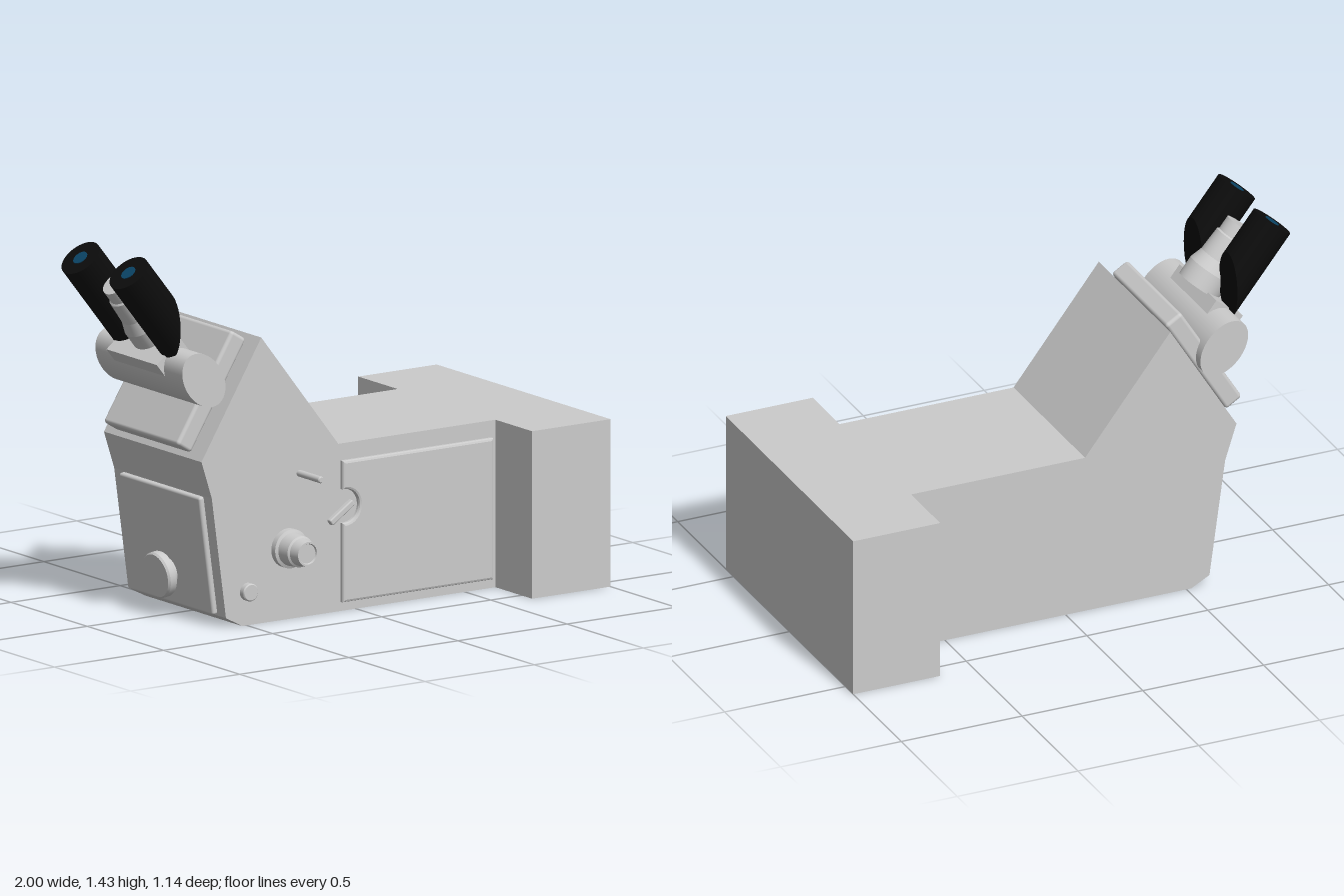
import * as THREE from 'three';
import { RoundedBoxGeometry } from 'three/addons/geometries/RoundedBoxGeometry.js';

const grey = new THREE.MeshStandardMaterial({ color: 0xcccccc });
const black = new THREE.MeshStandardMaterial({ color: 0x0c0c0c });
const blue = new THREE.MeshStandardMaterial({ color: 0x0b4668 });

export function createModel() {
  const model = new THREE.Group();
  model.name = 'microscope';

  const add = (parent, name, geometry, x = 0, y = 0, z = 0, material = grey) => {
    const mesh = new THREE.Mesh(geometry, material);
    mesh.name = name;
    mesh.position.set(x, y, z);
    parent.add(mesh);
    return mesh;
  };
  const outline = pts => new THREE.Shape(pts.map(p => new THREE.Vector2(...p)));
  // Turned part along +z, from [radius, height] steps
  const turned = steps => {
    const g = new THREE.BufferGeometry();
    const profile = [];
    // Doubled points keep the steps sharp
    steps.forEach(([r, h]) => profile.push(new THREE.Vector2(r, h), new THREE.Vector2(r, h)));
    g.copy(new THREE.LatheGeometry(profile, 40));
    return g.rotateX(Math.PI / 2);
  };

  // Main body, an extruded side profile
  const profile = outline([[-0.52, 0], [0.64, 0], [0.64, 0.645], [-0.08, 0.645],
    [-0.433, 1.1], [-0.707, 0.655], [-0.66, 0.51], [-0.595, 0.04]]);
  add(model, 'body', new THREE.ExtrudeGeometry(profile, { depth: 0.64, bevelEnabled: false }), 0, 0, -0.31);

  // Wide block at the end
  add(model, 'endBlock', new THREE.BoxGeometry(0.36, 0.645, 1.14), 0.82, 0.3225, 0);

  // Side cover with a round notch in its edge
  const cover = new THREE.Shape();
  cover.moveTo(-0.06, 0.045);
  cover.lineTo(0.61, 0.045);
  cover.lineTo(0.61, 0.57);
  cover.lineTo(-0.06, 0.57);
  cover.lineTo(-0.06, 0.48);
  cover.absarc(-0.06, 0.405, 0.075, Math.PI / 2, -Math.PI / 2, true);
  add(model, 'sideCover', new THREE.ExtrudeGeometry(cover,
    { depth: 0.01, bevelThickness: 0.01, bevelSize: 0.01, bevelSegments: 2, curveSegments: 24 }), 0, 0, 0.33);

  // Slanted lever in the notch
  const lever = add(model, 'notchLever', new RoundedBoxGeometry(0.125, 0.026, 0.03, 2, 0.006), -0.073, 0.382, 0.335);
  lever.rotation.z = 0.59;

  // Controls on the side
  add(model, 'focusKnob', turned([[0, 0], [0.075, 0], [0.075, 0.025], [0.064, 0.03], [0.06, 0.085],
    [0.053, 0.09], [0.047, 0.135], [0.04, 0.135], [0.037, 0.128], [0, 0.128]]), -0.312, 0.275, 0.33);
  add(model, 'sideButton', turned([[0, 0], [0.034, 0], [0.034, 0.022], [0.03, 0.026], [0, 0.026]]), -0.497, 0.13, 0.33);
  add(model, 'sideRod', turned([[0, 0], [0.013, 0], [0.013, 0.14], [0.01, 0.145], [0, 0.145]]), -0.258, 0.555, 0.33);

  // Lower front face: raised panel and knob, local x along the face normal
  const face = new THREE.Group();
  face.name = 'lowerFront';
  face.position.set(-0.6275, 0.275, 0.01);
  face.rotation.z = 0.137;
  model.add(face);
  add(face, 'frontPanel', new RoundedBoxGeometry(0.034, 0.465, 0.53, 2, 0.01), -0.003, 0, 0);
  const knob = add(face, 'frontKnob', turned([[0, 0], [0.055, 0], [0.055, 0.025], [0.065, 0.03], [0.065, 0.04],
    [0.086, 0.045], [0.089, 0.052], [0.089, 0.075], [0.083, 0.083], [0, 0.083]]), 0.0, -0.107, 0);
  knob.rotation.y = -Math.PI / 2;

  // Mounting plate on the upper slope
  const plate = add(model, 'mountingPlate', new RoundedBoxGeometry(0.078, 0.48, 0.49, 3, 0.014), -0.61, 0.9, 0.015);
  plate.rotation.z = -0.557;

  // Viewing head, tilted so that local y runs along the eyepieces
  const tilt = 0.67;
  const head = new THREE.Group();
  head.name = 'viewingHead';
  head.position.set(-0.675, 0.96, 0.015);
  head.rotation.z = tilt;
  model.add(head);

  const housing = new THREE.CylinderGeometry(1, 1, 0.57, 48).rotateX(Math.PI / 2).scale(0.083, 0.12, 1);
  add(head, 'headHousing', housing);
  add(head, 'headNeck', new THREE.BoxGeometry(0.14, 0.13, 0.33), 0, 0.06, 0);

  // Central tapered tube
  const tube = turned([[0, 0], [0.088, 0], [0.088, 0.075], [0.072, 0.125], [0.067, 0.22],
    [0.06, 0.225], [0.06, 0.28], [0, 0.28]]).rotateX(-Math.PI / 2);
  add(head, 'centreTube', tube, 0.061, 0.117, -0.003);

  // Eyepieces, their lower ends cut by an upright plane
  const axisX = 0.062, top = 0.491, radius = 0.083;
  for (const [side, z] of [['left', 0.157], ['right', -0.158]]) {
    const g = new THREE.CylinderGeometry(radius, radius, 0.4, 40).translate(axisX, top - 0.2, 0);
    const p = g.attributes.position;
    for (let i = 0; i < p.count; i++) {
      if (p.getY(i) < top - 0.2) p.setY(i, (0.075 + p.getX(i) * Math.cos(tilt)) / Math.sin(tilt));
    }
    add(head, side + 'Eyepiece', g, 0, 0, z, black);
    add(head, side + 'Lens', new THREE.CylinderGeometry(0.03, 0.03, 0.006, 32), axisX, top, z, blue);
  }

  return model;
}
